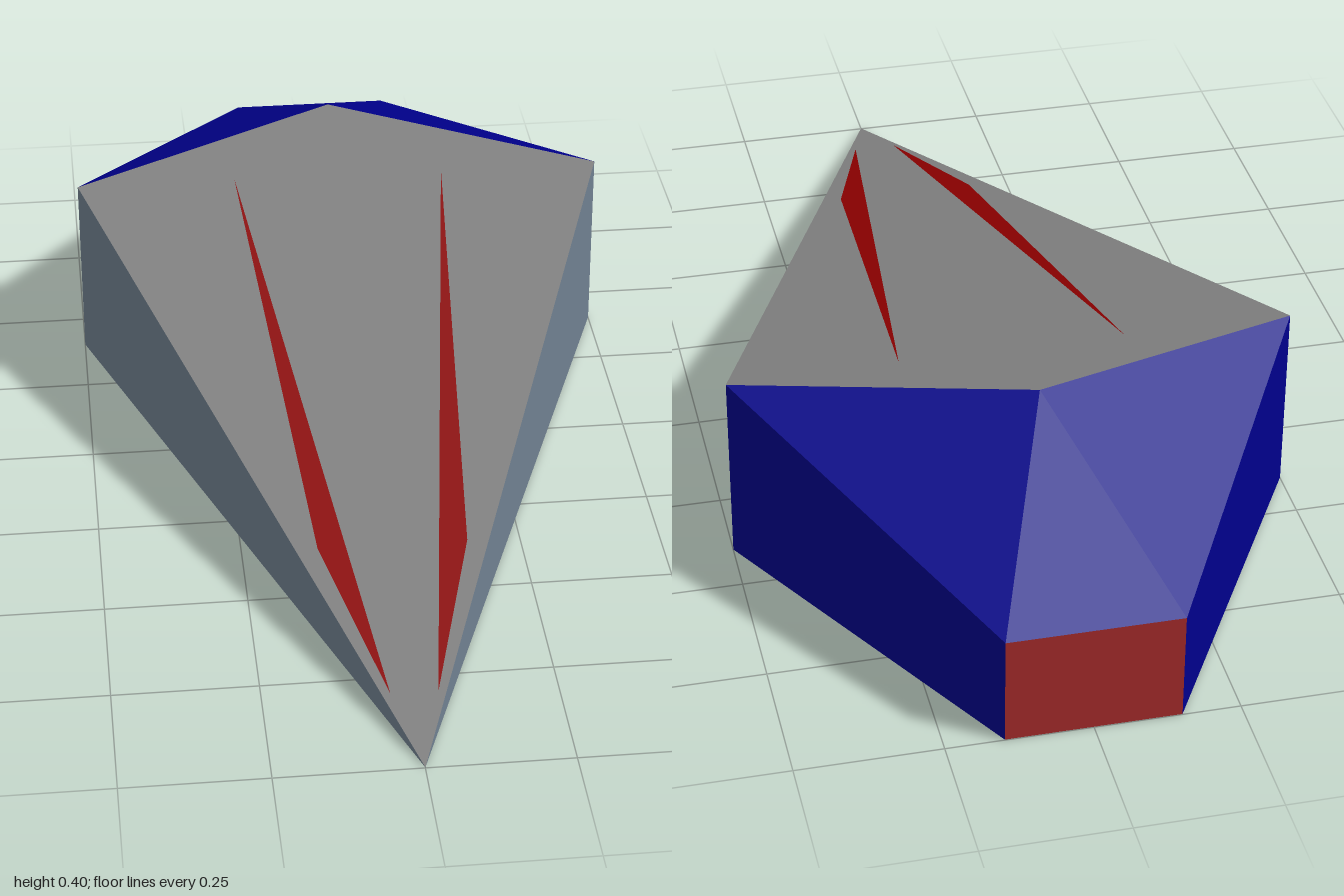
import * as THREE from 'three';

const GREY = 0x808080, SLATE = 0x708090, BLUE = 0x00008b, RED = 0x8b0000, BRICK = 0xa52a2a;
const CENTRE = new THREE.Vector3(0, 0.15, -0.3); // a point inside the hull

// One mesh from flat convex polygons, each turned to face away from the hull centre
function panels(name, color, polygons) {
  const pos = [];
  for (const polygon of polygons) {
    const p = polygon.map((c) => new THREE.Vector3(...c));
    const normal = p[1].clone().sub(p[0]).cross(p[2].clone().sub(p[0]));
    if (normal.dot(p[0].clone().sub(CENTRE)) < 0) p.reverse();
    for (let i = 1; i < p.length - 1; i++) {
      for (const v of [p[0], p[i], p[i + 1]]) pos.push(v.x, v.y, v.z);
    }
  }
  const geometry = new THREE.BufferGeometry();
  geometry.setAttribute('position', new THREE.Float32BufferAttribute(pos, 3));
  geometry.computeVertexNormals();
  const mesh = new THREE.Mesh(geometry, new THREE.MeshStandardMaterial({ color, flatShading: true }));
  mesh.name = name;
  return mesh;
}

const mirror = (polygon) => polygon.map(([x, y, z]) => [-x, y, z]);
const both = (polygon) => [polygon, mirror(polygon)];

export function createModel() {
  const group = new THREE.Group();
  group.name = 'wedgeShip';

  // Hull corners on the +x half
  const nose = [0, 0, 1], peak = [0, 0.4, -0.6];
  const wingTop = [0.5, 0.35, -0.4], wingBottom = [0.5, 0, -0.4];
  const tailTop = [0.15, 0.2, -1], tailBottom = [0.15, 0, -1];
  const [[wingTopR, wingBottomR, tailTopR, tailBottomR]] =
    [mirror([wingTop, wingBottom, tailTop, tailBottom])].map((m) => [m])[0];

  // Sloping deck, floor and flanks
  group.add(panels('topDeck', GREY, [[nose, wingTop, peak, wingTopR]]));
  group.add(panels('floor', GREY, [[nose, wingBottom, tailBottom, tailBottomR, wingBottomR]]));
  group.add(panels('sideWalls', SLATE, both([nose, wingBottom, wingTop])));

  // Tapered rear section
  group.add(panels('rearRoof', BLUE, [[peak, tailTop, tailTopR], ...both([peak, wingTop, tailTop])]));
  group.add(panels('rearWalls', BLUE, both([wingTop, wingBottom, tailBottom, tailTop])));
  group.add(panels('engineFace', BRICK, [[tailTop, tailBottom, tailBottomR, tailTopR]]));

  // Slim stripes lying just above the deck slope
  const onDeck = (x, z) => [x, (1 - z) * 0.25 + 0.002, z];
  group.add(panels('deckStripes', RED, both([onDeck(0.04, 0.85), onDeck(0.13, 0.53), onDeck(0.2, -0.4)])));

  // Triangular marking under the floor
  group.add(panels('floorMarking', RED, [[[-0.18, -0.001, 0.2], [0.18, -0.001, 0.2], [0, -0.001, -0.57]]]));

  return group;
}
